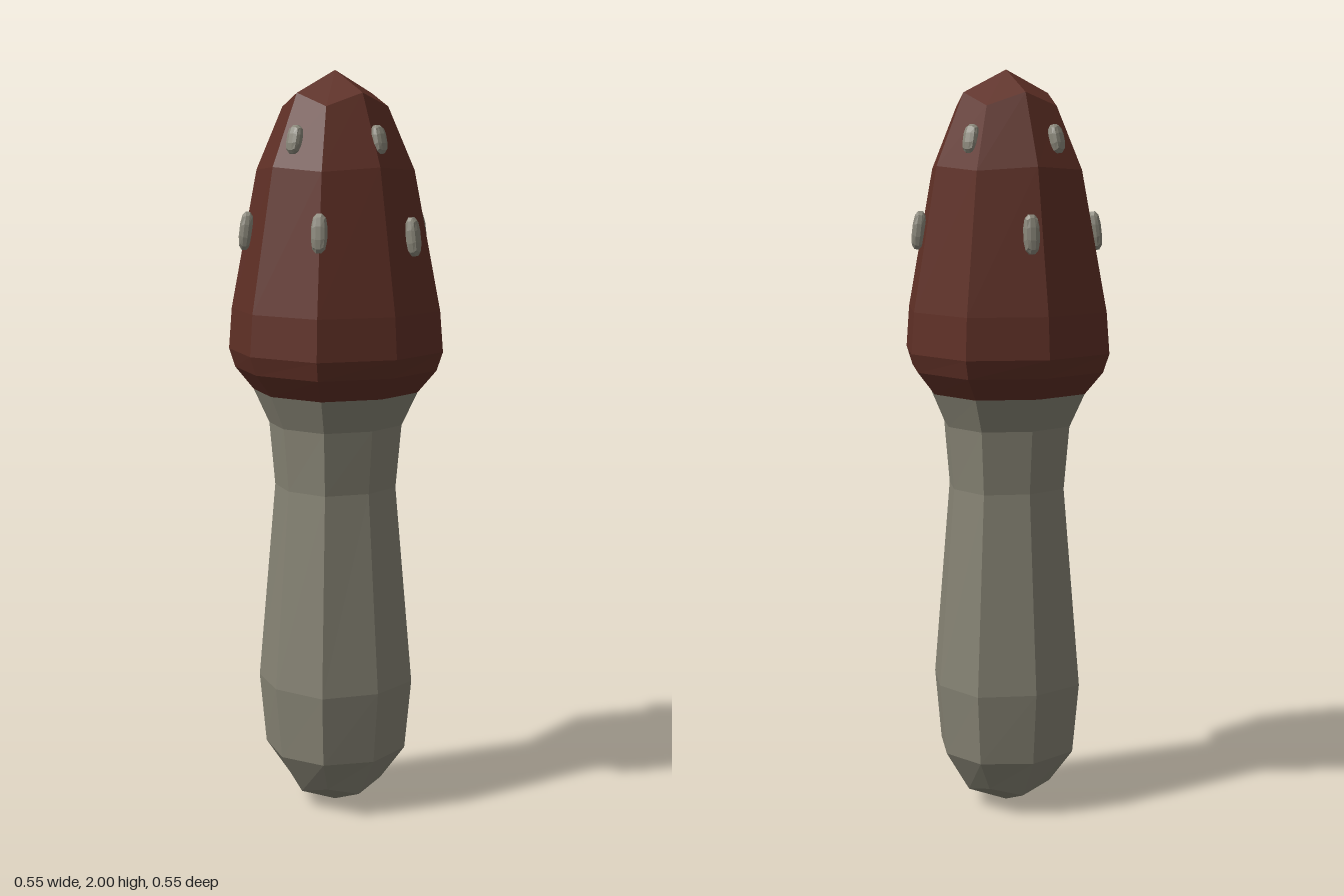
import * as THREE from 'three';

const paint = (name, color) => {
  const m = new THREE.MeshStandardMaterial({ color, flatShading: true });
  m.name = name;
  return m;
};

// Eight-sided skin through rings [axisRadius, axisY, diagonalX, diagonalY],
// optionally closed by four quads meeting at a pole.
function ringSkin(rings, bottomY = null, topY = null) {
  const pos = [];
  const point = (ring, k) => {
    const [r, y, d, dy] = ring;
    const a = (k * Math.PI) / 4;
    const diagonal = k % 2 === 1;
    const radius = diagonal ? d * Math.SQRT2 : r;
    return [Math.sin(a) * radius, diagonal ? dy : y, Math.cos(a) * radius];
  };
  const quad = (a, b, c, d) => pos.push(...a, ...b, ...c, ...a, ...c, ...d);
  for (let i = 0; i < rings.length - 1; i++) {
    for (let k = 0; k < 8; k++) {
      quad(point(rings[i], k), point(rings[i], k + 1), point(rings[i + 1], k + 1), point(rings[i + 1], k));
    }
  }
  const first = rings[0], last = rings[rings.length - 1];
  for (let k = 0; k < 8; k += 2) {
    if (bottomY !== null) quad([0, bottomY, 0], point(first, k + 2), point(first, k + 1), point(first, k));
    if (topY !== null) quad([0, topY, 0], point(last, k), point(last, k + 1), point(last, k + 2));
  }
  const g = new THREE.BufferGeometry();
  g.setAttribute('position', new THREE.Float32BufferAttribute(pos, 3));
  g.computeVertexNormals();
  return g;
}

// Small faceted pebble: a subdivided cube pushed halfway to a sphere
function pebbleGeometry() {
  const g = new THREE.BoxGeometry(1, 1, 1, 3, 3, 3);
  const p = g.attributes.position;
  const v = new THREE.Vector3(), s = new THREE.Vector3();
  for (let i = 0; i < p.count; i++) {
    v.fromBufferAttribute(p, i);
    s.copy(v).normalize().multiplyScalar(0.53);
    v.lerp(s, 0.85);
    p.setXYZ(i, v.x, v.y, v.z);
  }
  g.computeVertexNormals();
  return g;
}

export function createModel() {
  const model = new THREE.Group();
  model.name = 'mushroom';
  const capRed = paint('cap red brown', 0x5e2f25);
  const stemGrey = paint('stem grey', 0x858273);
  const spotGrey = paint('spot grey', 0x898679);

  const add = (name, geometry, material) => {
    const mesh = new THREE.Mesh(geometry, material);
    mesh.name = name;
    model.add(mesh);
    return mesh;
  };

  // Stem with a swollen foot and a waist below the cap
  add('stem', ringSkin([
    [0.112, 0.045, 0.09, 0.07],
    [0.178, 0.155, 0.137, 0.16],
    [0.197, 0.35, 0.15, 0.35],
    [0.153, 0.89, 0.117, 0.89],
    [0.168, 1.06, 0.128, 1.06],
    [0.208, 1.15, 0.158, 1.15],
  ], 0), stemGrey);

  // Tall cap
  add('cap', ringSkin([
    [0.208, 1.15, 0.158, 1.15],
    [0.255, 1.21, 0.194, 1.21],
    [0.273, 1.26, 0.206, 1.26],
    [0.265, 1.37, 0.2, 1.37],
    [0.199, 1.75, 0.15, 1.74],
    [0.122, 1.94, 0.1, 1.905],
  ], null, 2), capRed);

  // Raised spots in two rows: x, y, z
  const pebble = pebbleGeometry();
  const spots = [
    [0.035, 1.58, -0.235], [-0.2, 1.58, -0.127], [-0.17, 1.585, 0.167],
    [0.1, 1.57, 0.21], [0.215, 1.58, 0.088],
    [-0.075, 1.82, -0.15], [0.14, 1.82, -0.092], [-0.16, 1.82, 0.045], [0.018, 1.82, 0.167],
  ];
  spots.forEach(([x, y, z], i) => {
    const spot = add('spot' + (i + 1), pebble, spotGrey);
    const upper = y > 1.7;
    spot.position.set(x, y, z);
    spot.rotation.set(upper ? -0.25 : -0.12, Math.atan2(x, z), 0, 'YXZ');
    spot.scale.set(0.042, upper ? 0.078 : 0.105, 0.036);
  });

  return model;
}
